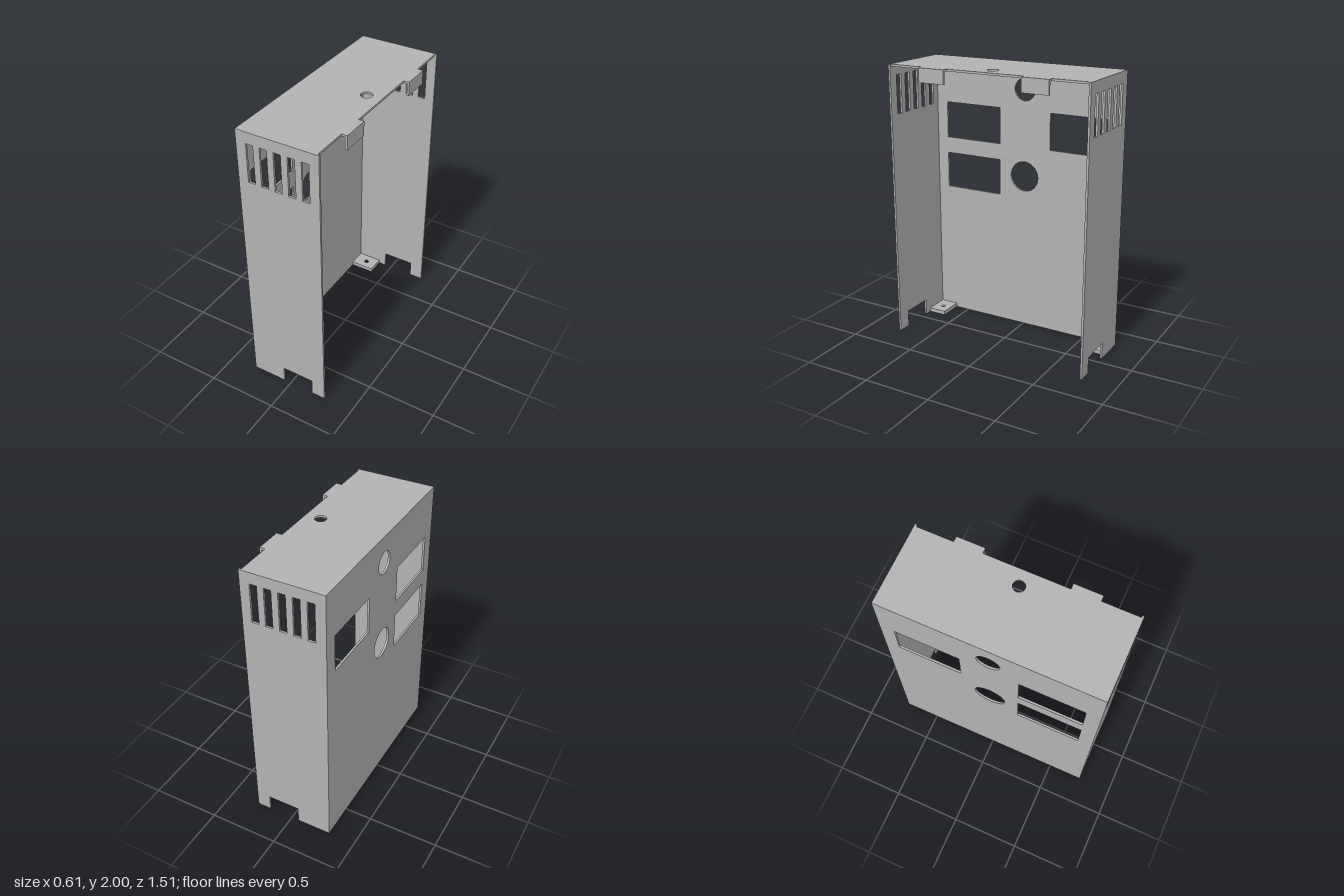
import * as THREE from 'three';

const T = 0.015; // sheet thickness
const X0 = -0.305, X1 = 0.28, Z1 = 0.755, ZI = Z1 - T;

const polygon = (C, pts) => new C(pts.map(([x, y]) => new THREE.Vector2(x, y)));
const rectHole = (x0, x1, y0, y1) => polygon(THREE.Path, [[x0, y0], [x0, y1], [x1, y1], [x1, y0]]);
const roundHole = (x, y, r) => new THREE.Path().absarc(x, y, r, 0, Math.PI * 2, true);

// Cut sheet: outline and holes, extruded
function sheet(points, holes, depth = T) {
  const shape = polygon(THREE.Shape, points);
  shape.holes.push(...holes);
  return new THREE.ExtrudeGeometry(shape, { depth, bevelEnabled: false, curveSegments: 40 });
}

export function createModel() {
  const group = new THREE.Group();
  group.name = 'sheetMetalCover';
  const metal = new THREE.MeshStandardMaterial({ color: 0xb2b2b2 });
  metal.name = 'grey metal';
  const add = (name, geometry, x, y, z) => {
    const mesh = new THREE.Mesh(geometry, metal);
    mesh.name = name;
    mesh.position.set(x, y, z);
    group.add(mesh);
  };

  // Side walls with vent slots and a notch at the bottom
  const slots = [];
  for (let i = 0; i < 5; i++) {
    const x = -0.233 + i * 0.098;
    slots.push(rectHole(x, x + 0.052, 1.645, 1.92));
  }
  const side = sheet([[X0, 0], [-0.055, 0], [-0.055, 0.12], [0.18, 0.12], [0.18, 0],
    [X1, 0], [X1, 2], [X0, 2]], slots);
  add('frontSideWall', side, 0, 0, ZI);
  add('rearSideWall', side, 0, 0, -Z1);

  // Main panel, drawn in z and y, with connector openings
  const panel = sheet([[-ZI, 0], [ZI, 0], [ZI, 2 - T], [-ZI, 2 - T]], [
    roundHole(0, 1.805, 0.08),
    roundHole(0, 1.17, 0.11),
    rectHole(0.205, 0.655, 1.39, 1.657),
    rectHole(-0.652, -0.202, 1.39, 1.657),
    rectHole(0.205, 0.655, 1.005, 1.27),
  ]).rotateY(-Math.PI / 2);
  add('mainPanel', panel, X0 + T, 0, 0);

  // Top sheet, drawn in x and z, with two tongues along its open edge
  const edge = 0.265, tip = 0.305, t0 = 0.29, t1 = 0.486;
  const top = sheet([[X0, -ZI], [edge, -ZI], [edge, -t1], [tip, -t1], [tip, -t0], [edge, -t0],
    [edge, t0], [tip, t0], [tip, t1], [edge, t1], [edge, ZI], [X0, ZI]],
  [roundHole(0.155, 0, 0.04)]).rotateX(Math.PI / 2);
  add('topSheet', top, 0, 2, 0);

  for (const s of [1, -1]) {
    // Folded-down lip of each tongue
    add('hookTab', new THREE.BoxGeometry(T, 0.1 - T, t1 - t0),
      tip - T / 2, 1.9 + (0.1 - T) / 2, s * (t0 + t1) / 2);

    // Mounting foot with a screw hole in each bottom corner
    const za = s * 0.605, zb = s * ZI, x0 = X0 + T, x1 = -0.11;
    const foot = sheet([[x0, za], [x1, za], [x1, zb], [x0, zb]],
      [roundHole(-0.195, s * 0.67, 0.016)], 0.03).rotateX(Math.PI / 2);
    add('mountingFoot', foot, 0, 0.03, 0);
  }
  return group;
}
